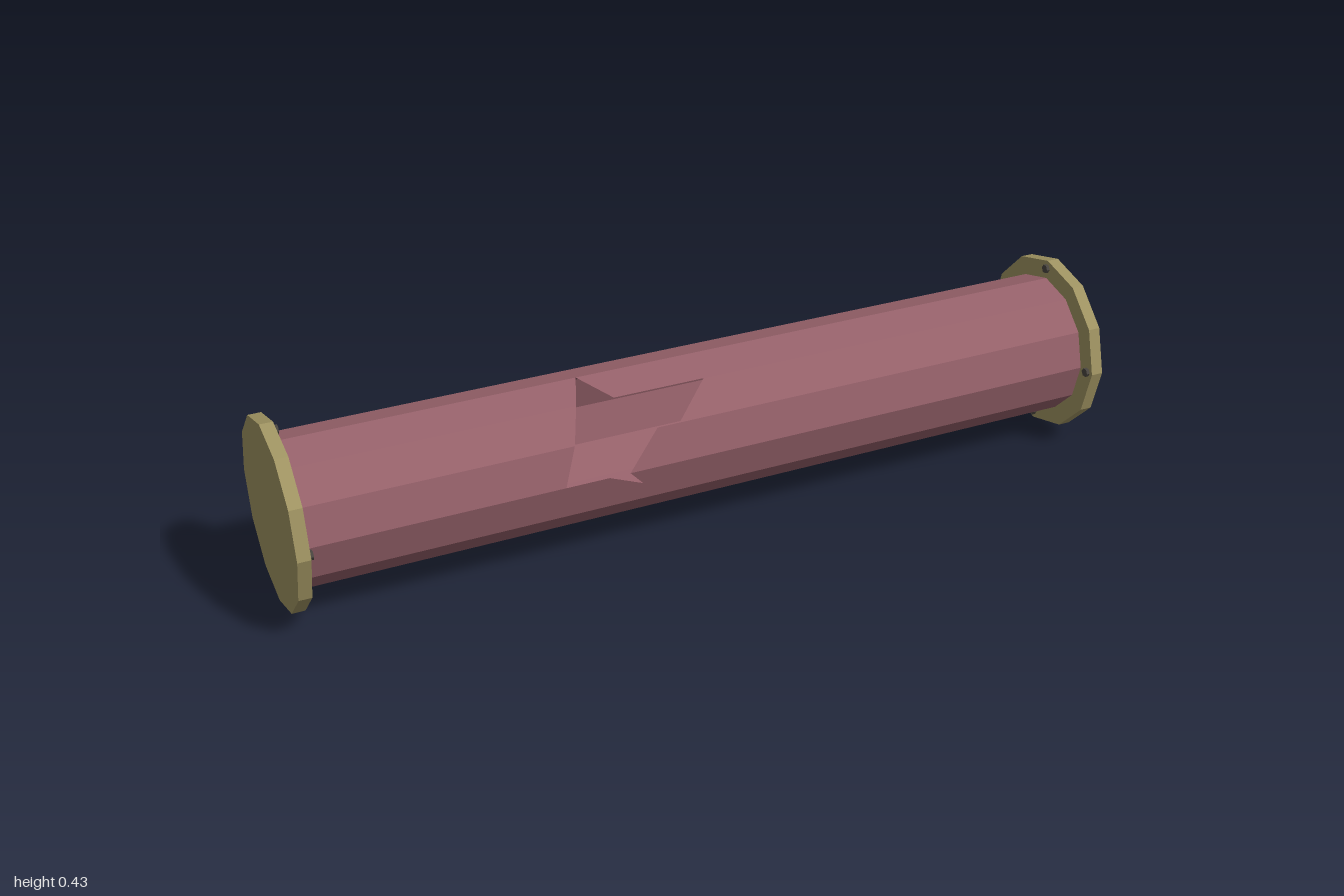
import * as THREE from 'three';

const SIDES = 12, TUBE_R = 0.171, FLANGE_R = 0.217, FLANGE_T = 0.03, END = 0.985;

// Point on the faceted tube wall; t counts facets from the top towards the front.
function wallPoint(x, t) {
  const i = Math.floor(t), f = t - i, step = (Math.PI * 2) / SIDES;
  const a = i * step, b = (i + 1) * step;
  return [
    x,
    TUBE_R * THREE.MathUtils.lerp(Math.cos(a), Math.cos(b), f),
    TUBE_R * THREE.MathUtils.lerp(Math.sin(a), Math.sin(b), f),
  ];
}

// Thin tube wall with a jagged tear in its front upper side.
function brokenTubeGeometry() {
  const pos = [];
  const quad = (t0, l0, r0, t1, l1, r1) => {
    const a = wallPoint(l0, t0), b = wallPoint(l1, t1), c = wallPoint(r1, t1), d = wallPoint(r0, t0);
    pos.push(...a, ...b, ...c, ...a, ...c, ...d);
  };
  // Each torn strip: start, left, right of the gap, then the same at its end
  const tears = [
    [0, -0.29, -0.29, 1, -0.325, -0.235],
    [1, -0.325, -0.015, 2, -0.356, -0.104],
    [2, -0.356, -0.158, 3, -0.388, -0.235],
    [3, -0.285, -0.235, 3.46, -0.2, -0.2],
  ];
  for (const [t0, l0, r0, t1, l1, r1] of tears) {
    quad(t0, -END, l0, t1, -END, l1);
    quad(t0, r0, END, t1, r1, END);
  }
  // Whole strips
  quad(3.46, -END, END, 4, -END, END);
  for (let i = 4; i < SIDES; i++) quad(i, -END, END, i + 1, -END, END);

  const g = new THREE.BufferGeometry();
  g.setAttribute('position', new THREE.Float32BufferAttribute(pos, 3));
  g.computeVertexNormals();
  return g;
}

export function createModel() {
  const mat = (color, side = THREE.FrontSide) =>
    new THREE.MeshStandardMaterial({ color, flatShading: true, side });
  const tubeMat = mat(0x96616a, THREE.DoubleSide);
  const flangeMat = mat(0xa09462);
  const boltMat = mat(0x4a4640);

  const model = new THREE.Group();
  model.name = 'brokenPipe';
  const add = (parent, geo, material, name) => {
    const m = new THREE.Mesh(geo, material);
    m.name = name;
    parent.add(m);
    return m;
  };

  add(model, brokenTubeGeometry(), tubeMat, 'tube').position.y = FLANGE_R;

  // End flanges with four small bolts on the inner face
  const flangeGeo = new THREE.CylinderGeometry(FLANGE_R, FLANGE_R, FLANGE_T, SIDES).rotateZ(Math.PI / 2);
  const boltGeo = new THREE.CylinderGeometry(0.011, 0.011, 0.016, 6).rotateZ(Math.PI / 2);
  for (const s of [-1, 1]) {
    const end = new THREE.Group();
    end.name = s > 0 ? 'leftEnd' : 'rightEnd';
    end.position.set(s * (1 - FLANGE_T / 2), FLANGE_R, 0);
    add(end, flangeGeo, flangeMat, 'flange');
    for (let i = 0; i < 4; i++) {
      const a = (i * Math.PI) / 2;
      add(end, boltGeo, boltMat, 'bolt')
        .position.set(-s * FLANGE_T / 2, Math.cos(a) * 0.197, Math.sin(a) * 0.197);
    }
    model.add(end);
  }
  return model;
}
